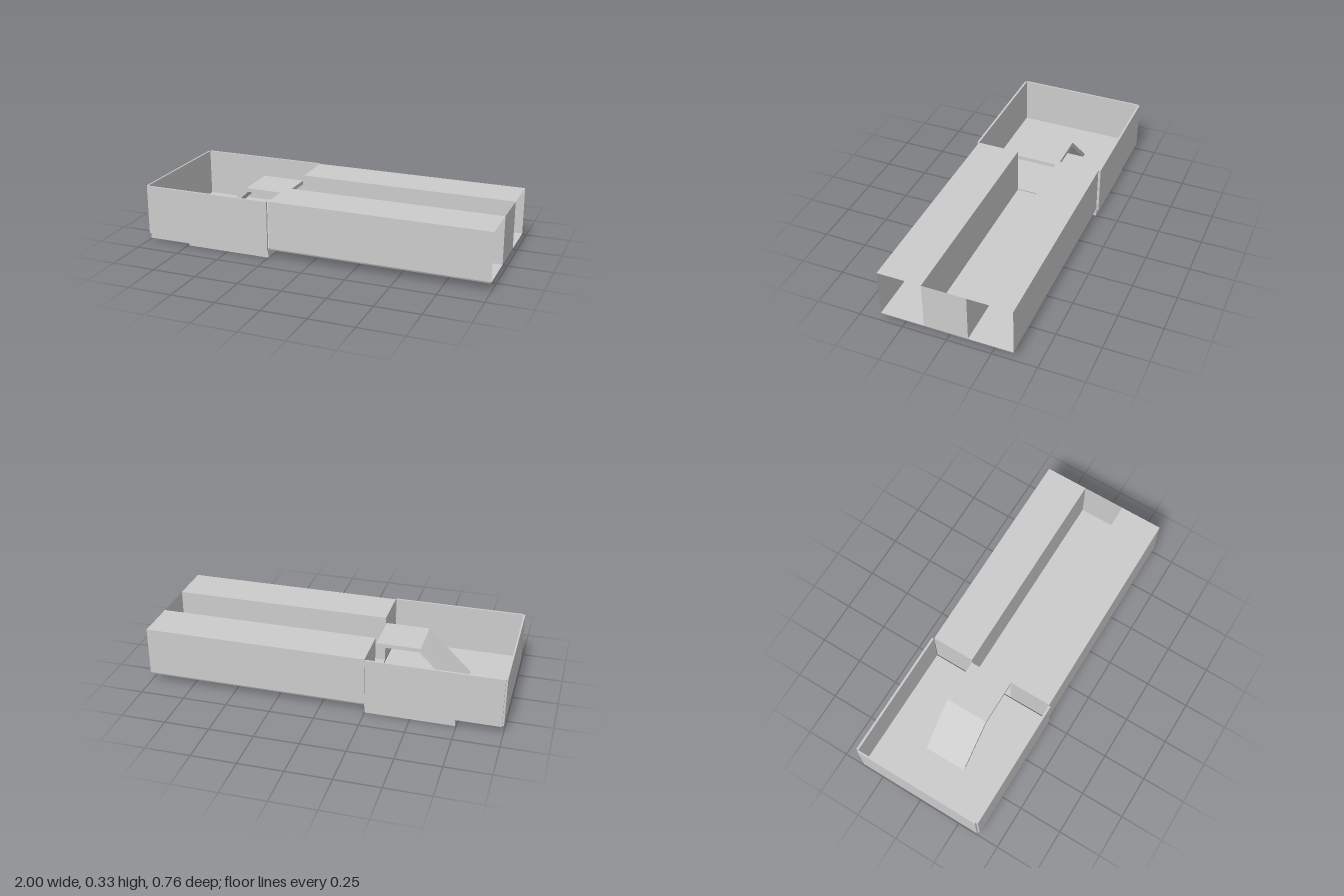
import * as THREE from 'three';

const material = new THREE.MeshStandardMaterial({ color: 0xcccccc, flatShading: true, side: THREE.DoubleSide });

export function createModel() {
  const model = new THREE.Group();

  function add(name, geometry, parent = model) {
    const mesh = new THREE.Mesh(geometry, material);
    mesh.name = name;
    parent.add(mesh);
    return mesh;
  }

  // Box given by its limits on each axis
  function block(name, [x0, x1], [y0, y1], [z0, z1], parent) {
    const g = new THREE.BoxGeometry(x1 - x0, y1 - y0, z1 - z0);
    g.translate((x0 + x1) / 2, (y0 + y1) / 2, (z0 + z1) / 2);
    return add(name, g, parent);
  }

  // Block whose underside is drawn in to leave a small bevelled joint
  function tile(name, xs, ys, zs, parent) {
    const mesh = block(name, xs, ys, zs, parent);
    const p = mesh.geometry.attributes.position;
    const cx = (xs[0] + xs[1]) / 2, cz = (zs[0] + zs[1]) / 2;
    for (let i = 0; i < p.count; i++) {
      if (p.getY(i) > (ys[0] + ys[1]) / 2) continue;
      p.setX(i, p.getX(i) - 0.005 * Math.sign(p.getX(i) - cx));
      p.setZ(i, p.getZ(i) - 0.005 * Math.sign(p.getZ(i) - cz));
    }
    mesh.geometry.computeVertexNormals();
    return mesh;
  }

  // Single-sheet upright panels, facing z or x
  function panelZ(name, [x0, x1], [y0, y1], z, parent) {
    const g = new THREE.PlaneGeometry(x1 - x0, y1 - y0);
    g.translate((x0 + x1) / 2, (y0 + y1) / 2, z);
    return add(name, g, parent);
  }
  function panelX(name, x, [y0, y1], [z0, z1], parent) {
    const g = new THREE.PlaneGeometry(z1 - z0, y1 - y0).rotateY(Math.PI / 2);
    g.translate(x, (y0 + y1) / 2, (z0 + z1) / 2);
    return add(name, g, parent);
  }

  const TOP = 0.328, FLOOR = 0.055, BASE = 0.045;
  const lanes = [[-0.37, -0.123], [-0.123, 0.123], [0.123, 0.37]];
  const long = [-0.245, 1];

  // Corridor floor strips
  for (const lane of lanes) tile('corridorFloor', long, [BASE, FLOOR], lane);

  // Hollow side blocks, open at the far end
  for (const s of [-1, 1]) {
    const side = new THREE.Group();
    side.name = s > 0 ? 'frontSideBlock' : 'backSideBlock';
    model.add(side);
    const zs = s > 0 ? lanes[2] : lanes[0];
    panelZ('outerWall', long, [FLOOR, TOP], s * 0.37, side);
    panelZ('innerWall', long, [FLOOR, TOP], s * 0.123, side);
    panelX('nearEnd', long[0], [FLOOR, TOP], zs, side);
    const roof = new THREE.PlaneGeometry(long[1] - long[0], 0.247).rotateX(-Math.PI / 2);
    roof.translate((long[0] + long[1]) / 2, TOP, (zs[0] + zs[1]) / 2);
    add('roof', roof, side);
  }

  // Wall closing the end of the channel
  panelX('channelEnd', 1, [FLOOR, TOP], lanes[1]);

  // Room walls
  block('roomEndWall', [-1, -0.99], [BASE, TOP], [-0.37, 0.37]);
  for (const s of [-1, 1]) {
    const z = [s * 0.37, s * 0.382].sort((a, b) => a - b);
    block('roomSideWall', [-0.99, -0.25], [BASE, TOP], z);
  }

  // Room floor tiles
  const columns = [[-0.99, -0.743], [-0.743, -0.497], [-0.497, -0.25]];
  for (const col of columns) for (const lane of lanes) tile('roomFloorTile', col, [BASE, FLOOR], lane);

  // Foundations under the room
  block('mainFoundation', [-0.743, -0.25], [0, BASE], [-0.37, 0.37]);
  for (const lane of lanes.slice(1)) block('endFoundation', columns[0], [0.012, BASE], lane);

  // Raised platform and ramp as one bent slab
  const profile = new THREE.Shape([
    [-0.743, FLOOR], [-0.497, 0.297], [-0.25, 0.297],
    [-0.25, 0.275], [-0.488, 0.275], [-0.712, FLOOR],
  ].map(([x, y]) => new THREE.Vector2(x, y)));
  const ramp = new THREE.ExtrudeGeometry(profile, { depth: 0.246, bevelEnabled: false });
  ramp.translate(0, 0, -0.123);
  add('rampAndPlatform', ramp);

  return model;
}
